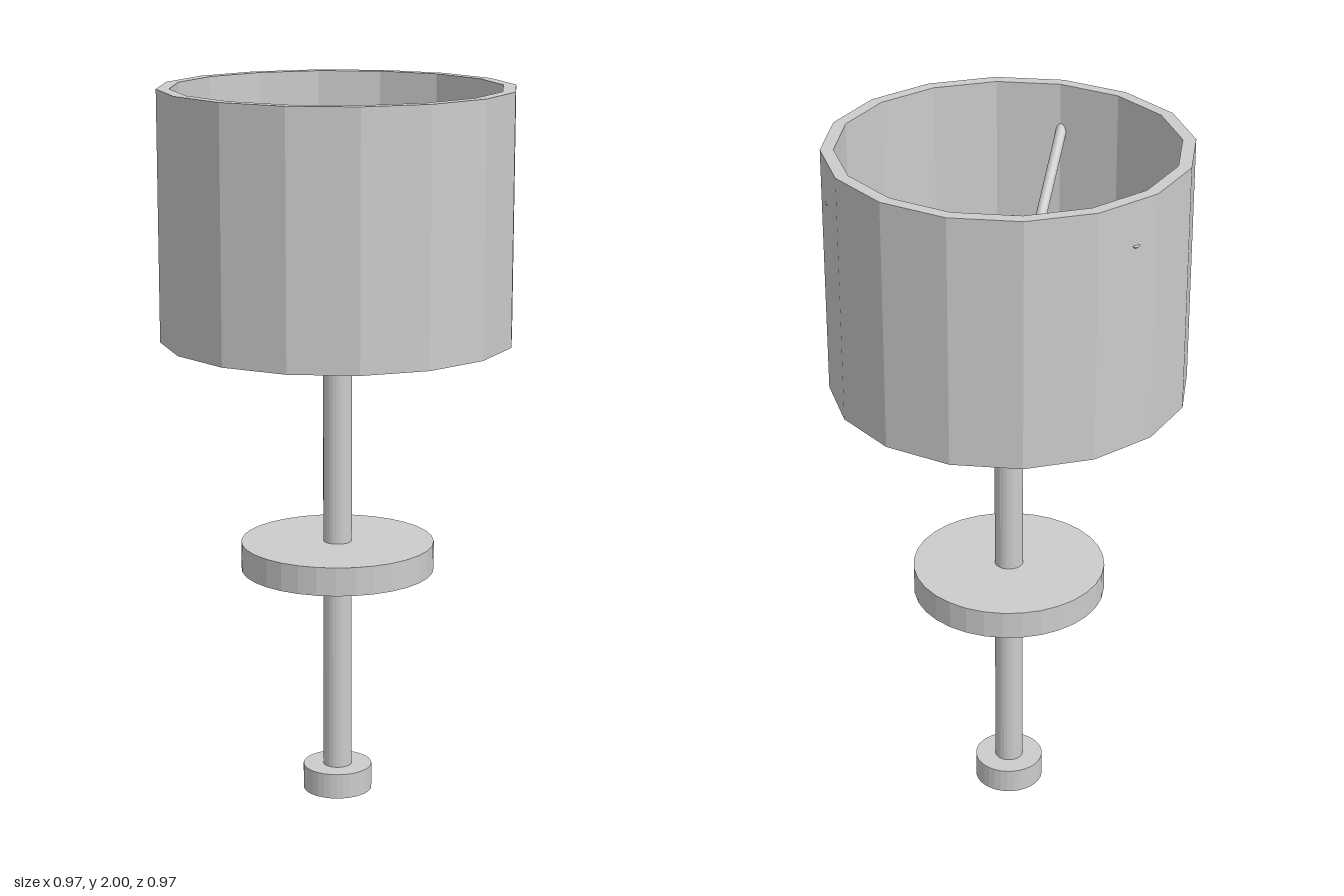
import * as THREE from 'three';

export function createModel() {
  const model = new THREE.Group();
  const grey = new THREE.MeshStandardMaterial({ color: 0xcccccc, flatShading: true });
  grey.name = 'light grey';

  const add = (name, geometry, y = 0) => {
    const mesh = new THREE.Mesh(geometry, grey);
    mesh.name = name;
    mesh.position.y = y;
    model.add(mesh);
    return mesh;
  };
  // Upright cylinder between two heights
  const disc = (name, radius, y0, y1, sides) =>
    add(name, new THREE.CylinderGeometry(radius, radius, y1 - y0, sides), (y0 + y1) / 2);

  // Stand
  disc('base', 0.097, 0, 0.072, 32);
  disc('pole', 0.04, 0.04, 1.71, 24);
  disc('tableDisc', 0.27, 0.655, 0.735, 32);
  add('finial', new THREE.SphereGeometry(0.085, 16, 8), 1.71);

  // Open sixteen-sided shade with a thick wall
  const profile = [[0.487, 1.313], [0.487, 2], [0.452, 2], [0.452, 1.313], [0.487, 1.313]]
    .map(([r, y]) => new THREE.Vector2(r, y));
  add('shade', new THREE.LatheGeometry(profile, 16)).rotation.y = -0.061;

  // Three sloping arms from the pole to the shade
  const up = new THREE.Vector3(0, 1, 0);
  for (let i = 0; i < 3; i++) {
    const a = 0.064 + (i * Math.PI * 2) / 3;
    const start = new THREE.Vector3(0, 1.4, 0);
    const end = new THREE.Vector3(Math.cos(a) * 0.472, 1.886, -Math.sin(a) * 0.472);
    const span = end.clone().sub(start);
    const arm = add('shadeArm', new THREE.CylinderGeometry(0.015, 0.015, span.length(), 16));
    arm.position.copy(start).add(end).multiplyScalar(0.5);
    arm.quaternion.setFromUnitVectors(up, span.normalize());
  }
  return model;
}
